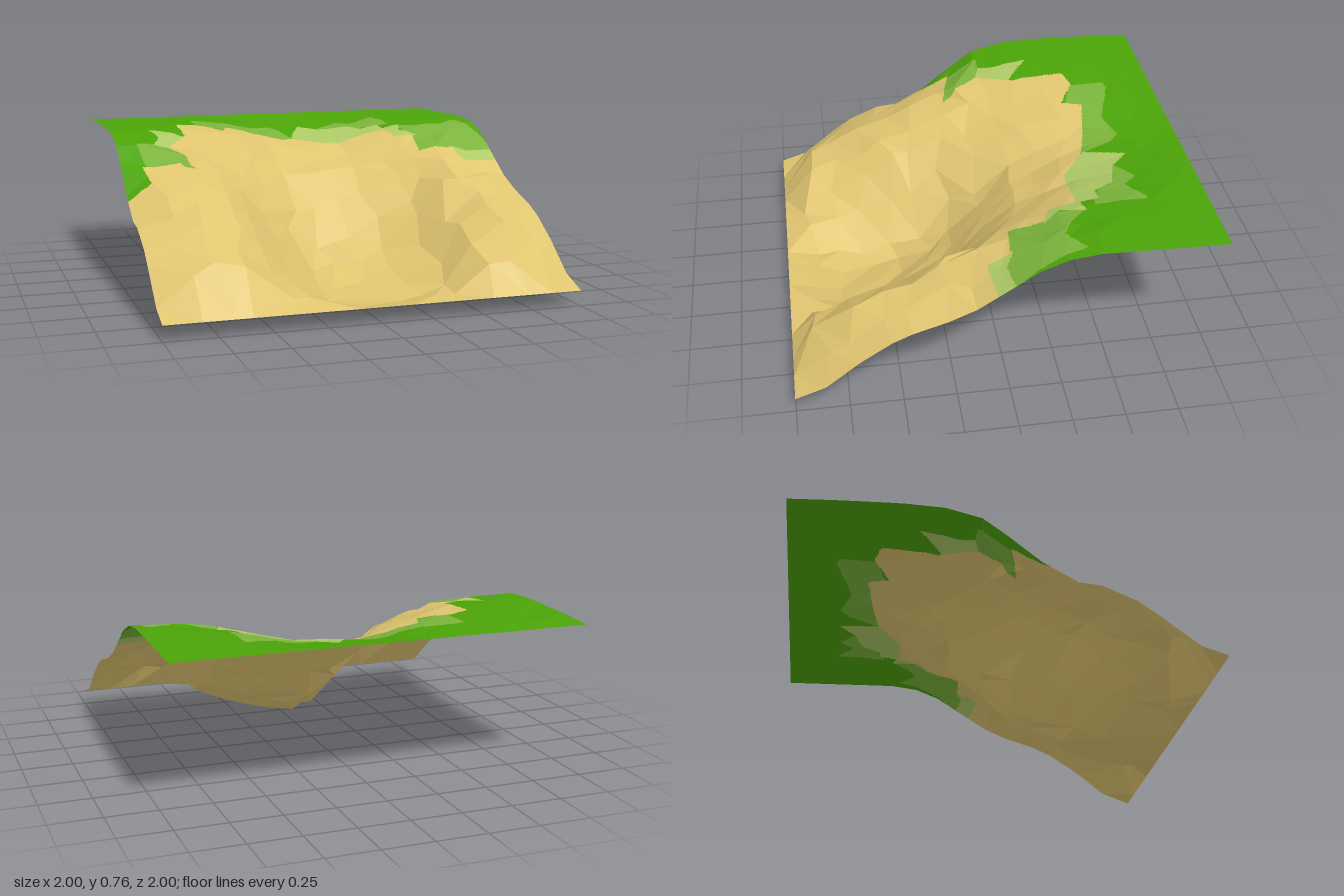
import * as THREE from 'three';

// Height profiles: one row per z station, one column per x station
const XS = [-1, -0.7, -0.5, -0.3, -0.08, 0.2, 0.42, 0.66, 1];
const ZS = [-1, -0.75, -0.5, -0.3, -0.1, 0.1, 0.3, 0.5, 0.7, 0.88, 1];
const HEIGHTS = [
  [0.74, 0.74, 0.74, 0.74, 0.74, 0.74, 0.74, 0.74, 0.74],
  [0.75, 0.755, 0.74, 0.725, 0.695, 0.695, 0.715, 0.735, 0.745],
  [0.755, 0.75, 0.735, 0.7, 0.64, 0.65, 0.69, 0.735, 0.75],
  [0.75, 0.735, 0.705, 0.65, 0.57, 0.59, 0.645, 0.71, 0.745],
  [0.7, 0.69, 0.63, 0.56, 0.46, 0.49, 0.565, 0.66, 0.67],
  [0.54, 0.63, 0.56, 0.41, 0.24, 0.28, 0.41, 0.58, 0.53],
  [0.41, 0.56, 0.49, 0.28, 0.09, 0.14, 0.265, 0.51, 0.44],
  [0.375, 0.45, 0.39, 0.18, 0.01, 0.06, 0.17, 0.44, 0.375],
  [0.25, 0.35, 0.27, 0.11, 0.0, 0.035, 0.11, 0.36, 0.25],
  [0.11, 0.26, 0.19, 0.1, 0.035, 0.055, 0.1, 0.24, 0.11],
  [0.074, 0.074, 0.074, 0.074, 0.074, 0.074, 0.074, 0.074, 0.074],
];

// Ground cover outlines as [x, z]; the first one holding a point wins
const SAND = [[-1, 0.2], [-0.88, 0.18], [-0.9, 0.04], [-0.64, 0.1], [-0.74, -0.1], [-0.62, -0.28], [-0.61, -0.55],
  [-0.5, -0.58], [-0.36, -0.5], [-0.32, -0.6], [-0.1, -0.56], [0.04, -0.52], [0.2, -0.4], [0.52, -0.39], [0.54, -0.25],
  [0.63, -0.22], [0.6, -0.05], [0.78, -0.03], [0.8, 0.08], [1, 0.06], [1, 1.1], [-1, 1.1]];
const PALE = [
  [[0.03, -0.53], [0.13, -0.73], [0.22, -0.64], [0.38, -0.6], [0.43, -0.5], [0.52, -0.5], [0.53, -0.38], [0.2, -0.38]],
  [[0.5, -0.4], [0.62, -0.42], [0.58, -0.3], [0.65, -0.21], [0.52, -0.23]],
  [[-0.79, -0.38], [-0.6, -0.24], [-0.7, -0.08], [-0.81, -0.12], [-0.77, -0.2]],
  [[0.77, -0.05], [0.86, 0], [1, -0.02], [1, 0.1], [0.78, 0.1]],
];
const MIXED = [
  [[-0.49, -0.57], [-0.49, -0.75], [-0.44, -0.76], [-0.2, -0.68], [-0.05, -0.73], [0, -0.68], [0.04, -0.5], [-0.3, -0.5]],
  [[0.2, -0.64], [0.35, -0.72], [0.42, -0.65], [0.58, -0.73], [0.58, -0.47], [0.5, -0.48]],
  [[0.6, -0.42], [0.7, -0.33], [0.8, -0.28], [0.93, -0.36], [1, -0.05], [1, 0.1], [0.75, 0.1], [0.58, -0.03]],
  [[-0.9, -0.12], [-0.74, -0.12], [-0.6, 0.12], [-0.88, 0.06]],
];

function inside(poly, x, z) {
  let hit = false;
  poly.forEach(([ax, az], i) => {
    const [bx, bz] = poly[(i + 1) % poly.length];
    if ((az > z) !== (bz > z) && x < ((bx - ax) * (z - az)) / (bz - az) + ax) hit = !hit;
  });
  return hit;
}

function coverAt(x, z) {
  if (inside(SAND, x, z)) return 'sand';
  if (PALE.some((p) => inside(p, x, z))) return 'paleGrass';
  if (MIXED.some((p) => inside(p, x, z))) return 'mixedGrass';
  return 'grass';
}

// Smooth curve through the values at the stations
function curveAt(stations, values, v) {
  const last = stations.length - 1;
  let i = 0;
  while (i < last - 1 && v > stations[i + 1]) i++;
  const slope = (k) => {
    const a = Math.max(k - 1, 0), b = Math.min(k + 1, last);
    return (values[b] - values[a]) / (stations[b] - stations[a]);
  };
  const h = stations[i + 1] - stations[i];
  const t = (v - stations[i]) / h;
  const s = t * t * (3 - 2 * t);
  return values[i] * (1 - s) + values[i + 1] * s
    + h * t * (1 - t) * ((1 - t) * slope(i) - t * slope(i + 1));
}

const heightAt = (x, z) => curveAt(ZS, HEIGHTS.map((row) => curveAt(XS, row, x)), z);

export function createModel() {
  let seed = 11;
  const random = () => (seed = (seed * 16807) % 2147483647) / 2147483647;

  // Irregular grid of rocky ground points
  const N = 14;
  const points = [];
  for (let j = 0; j <= N; j++) {
    points.push([]);
    for (let i = 0; i <= N; i++) {
      const edgeX = i === 0 || i === N;
      const edgeZ = j === 0 || j === N;
      const x = -1 + (2 * i) / N + (edgeX ? 0 : (random() - 0.5) * 0.09);
      const z = -1 + (2 * j) / N + (edgeZ ? 0 : (random() - 0.5) * 0.09);
      const rough = edgeX || edgeZ ? 0 : z < -0.4 ? 0.006 : 0.028;
      points[j].push(new THREE.Vector3(x, Math.max(0, heightAt(x, z) + (random() - 0.5) * rough), z));
    }
  }

  // Each facet is divided into small coplanar pieces, sorted by ground cover
  const pieces = { sand: [], paleGrass: [], mixedGrass: [], grass: [] };
  const D = 18;
  function addFacet(a, b, c) {
    const at = (s, t) => a.clone().addScaledVector(b, s / D).addScaledVector(c, t / D).addScaledVector(a, -(s + t) / D);
    const addPiece = (p, q, r) => {
      const cover = coverAt((p.x + q.x + r.x) / 3, (p.z + q.z + r.z) / 3);
      for (const v of [p, q, r]) pieces[cover].push(v.x, v.y, v.z);
    };
    for (let s = 0; s < D; s++) {
      for (let t = 0; t < D - s; t++) {
        addPiece(at(s, t), at(s + 1, t), at(s, t + 1));
        if (s + t < D - 1) addPiece(at(s + 1, t), at(s + 1, t + 1), at(s, t + 1));
      }
    }
  }
  for (let j = 0; j < N; j++) {
    for (let i = 0; i < N; i++) {
      const a = points[j][i], b = points[j + 1][i], c = points[j + 1][i + 1], d = points[j][i + 1];
      // The diagonal joins the two corners closest in height
      if (Math.abs(a.y - c.y) < Math.abs(b.y - d.y)) {
        addFacet(a, b, c);
        addFacet(a, c, d);
      } else {
        addFacet(a, b, d);
        addFacet(b, c, d);
      }
    }
  }

  // One open, two-sided sheet per ground cover
  const colors = { sand: 0xe0c570, paleGrass: 0xaeca66, mixedGrass: 0x7cb43c, grass: 0x4ca408 };
  const group = new THREE.Group();
  group.name = 'hillside';
  for (const [name, positions] of Object.entries(pieces)) {
    const geometry = new THREE.BufferGeometry();
    geometry.setAttribute('position', new THREE.Float32BufferAttribute(positions, 3));
    geometry.computeVertexNormals();
    const material = new THREE.MeshStandardMaterial({ color: colors[name], flatShading: true, side: THREE.DoubleSide });
    material.name = name;
    const mesh = new THREE.Mesh(geometry, material);
    mesh.name = `${name}Ground`;
    group.add(mesh);
  }
  return group;
}
